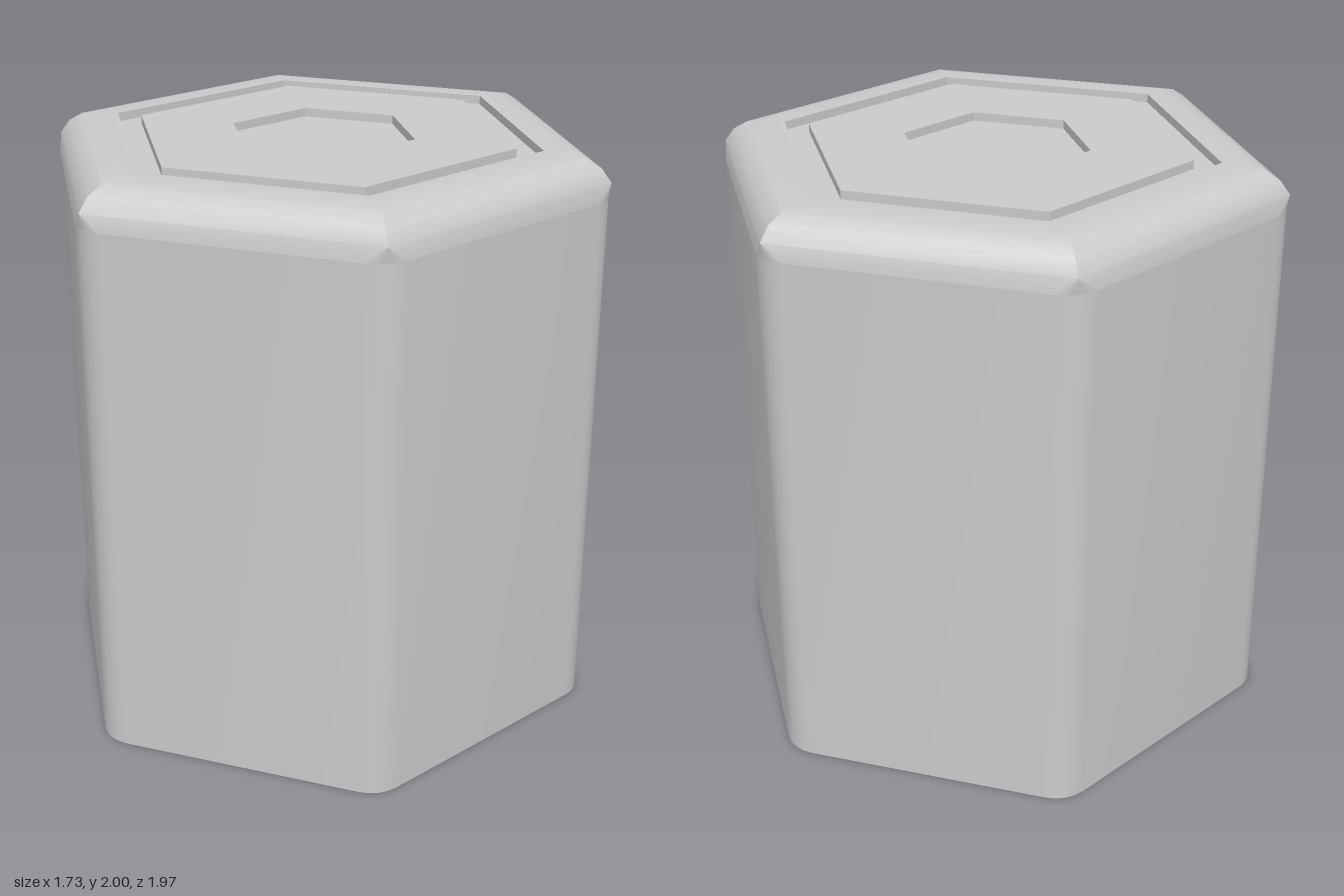
import * as THREE from 'three';
import { toCreasedNormals } from 'three/addons/utils/BufferGeometryUtils.js';

const ARC = 4; // segments per rounded corner
const material = new THREE.MeshStandardMaterial({ color: 0xcccccc });

// One hexagonal ring with points towards +z and -z: apothem a, height y, corner radius r
function hexRing([a, y, r = 0]) {
  const points = [];
  for (let k = 0; k < 6; k++) {
    const corner = (k * Math.PI) / 3;
    const d = (a - r) / Math.cos(Math.PI / 6);
    for (let s = 0; s <= ARC; s++) {
      const t = corner + (s / ARC - 0.5) * (Math.PI / 3);
      points.push(new THREE.Vector3(
        d * Math.sin(corner) + r * Math.sin(t), y, d * Math.cos(corner) + r * Math.cos(t)));
    }
  }
  return points;
}

// Skin a profile of [apothem, height, corner radius] rings
function hexLoft(name, profile) {
  const rings = profile.map(hexRing);
  const positions = [];
  const addTriangle = (a, b, c) => {
    if (new THREE.Triangle(a, b, c).getArea() < 1e-7) return;
    for (const p of [a, b, c]) positions.push(p.x, p.y, p.z);
  };
  for (let i = 0; i < rings.length - 1; i++) {
    const lower = rings[i], upper = rings[i + 1], n = lower.length;
    for (let j = 0; j < n; j++) {
      const k = (j + 1) % n;
      addTriangle(lower[j], lower[k], upper[k]);
      addTriangle(lower[j], upper[k], upper[j]);
    }
  }
  const geometry = new THREE.BufferGeometry();
  geometry.setAttribute('position', new THREE.Float32BufferAttribute(positions, 3));
  const mesh = new THREE.Mesh(toCreasedNormals(geometry, 0.5), material);
  mesh.name = name;
  return mesh;
}

export function createModel() {
  const group = new THREE.Group();
  group.name = 'hexagonalColumn';

  const apothem = 0.865, height = 2, bevel = 0.14, cornerRadius = 0.13;
  const grooveOuter = 0.658, grooveInner = 0.58, recess = 0.281, depth = 0.03;

  // Column with rounded upright edges
  group.add(hexLoft('columnBody', [
    [0, 0], [apothem, 0, cornerRadius], [apothem, height - bevel, cornerRadius],
  ]));

  // Rounded shoulder with mitred corners, running in to the groove
  const shoulder = [];
  for (let i = 0; i <= 4; i++) {
    const t = (i / 4) * (Math.PI / 2);
    shoulder.push([
      apothem - bevel + bevel * Math.cos(t),
      height - bevel + bevel * Math.sin(t),
      i === 0 ? cornerRadius : 0,
    ]);
  }
  shoulder.push([grooveOuter, height]);
  group.add(hexLoft('topShoulder', shoulder));

  // Shallow groove around the top
  group.add(hexLoft('topGroove', [
    [grooveOuter, height], [grooveOuter, height - depth],
    [grooveInner, height - depth], [grooveInner, height],
  ]));

  // Top plate with a sunken centre
  group.add(hexLoft('topPlate', [
    [grooveInner, height], [recess, height], [recess, height - depth], [0, height - depth],
  ]));

  return group;
}
